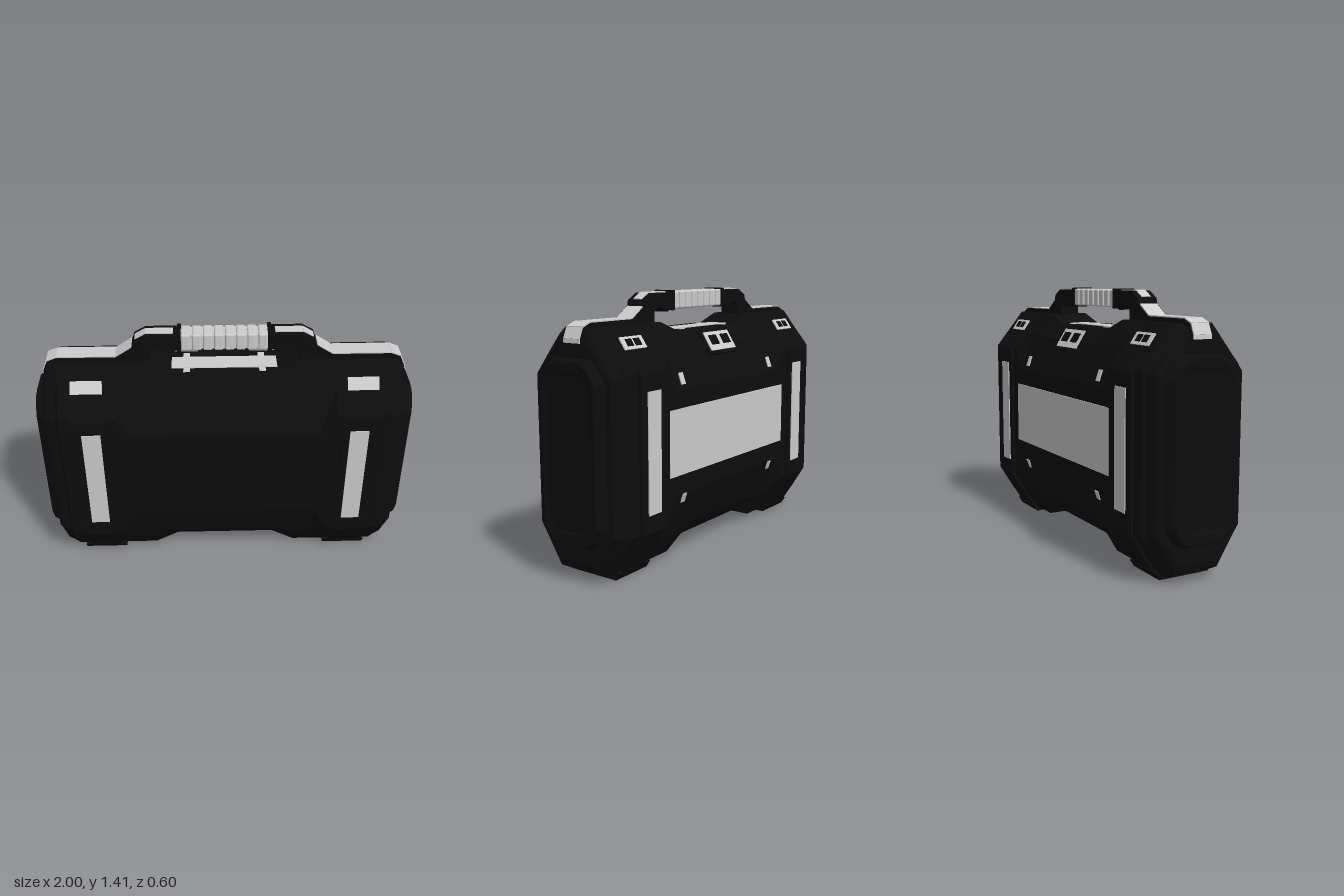
import * as THREE from 'three';
import { RoundedBoxGeometry } from 'three/addons/geometries/RoundedBoxGeometry.js';

const black = new THREE.MeshStandardMaterial({ color: 0x0d0d0d });
black.name = 'black shell';
const grey = new THREE.MeshStandardMaterial({ color: 0xcccccc });
grey.name = 'light grey trim';

// Loft through cross-sections [x, [[z, y] ...]]; each half profile is mirrored in z.
function loft(sections) {
  const rings = sections.map(([x, half]) => [
    ...half.map(([z, y]) => [x, y, z]),
    ...half.slice().reverse().map(([z, y]) => [x, y, -z]),
  ]);
  const n = rings[0].length, last = rings[rings.length - 1], pos = [];
  const tri = (...p) => p.forEach((v) => pos.push(...v));
  for (let i = 0; i < rings.length - 1; i++) {
    for (let j = 0; j < n; j++) {
      const k = (j + 1) % n;
      const a = rings[i][j], b = rings[i][k], c = rings[i + 1][k], d = rings[i + 1][j];
      tri(a, d, c);
      tri(a, c, b);
    }
  }
  for (let k = 1; k < n - 1; k++) {
    tri(rings[0][0], rings[0][k], rings[0][k + 1]);
    tri(last[0], last[k + 1], last[k]);
  }
  const g = new THREE.BufferGeometry();
  g.setAttribute('position', new THREE.Float32BufferAttribute(pos, 3));
  g.computeVertexNormals();
  return g;
}

// Extrude a mirrored (z, y) profile along x, centred on its width.
function sideExtrude(half, width) {
  const pts = [...half, ...half.slice().reverse().map(([z, y]) => [-z, y])];
  const shape = new THREE.Shape(pts.map(([z, y]) => new THREE.Vector2(z, y)));
  const g = new THREE.ExtrudeGeometry(shape, { depth: width, bevelEnabled: false });
  g.translate(0, 0, -width / 2);
  g.rotateY(Math.PI / 2);
  return g;
}

export function createModel() {
  const root = new THREE.Group();
  root.name = 'carryCase';

  function add(name, geo, mat, x = 0, y = 0, z = 0) {
    const m = new THREE.Mesh(geo, mat);
    m.name = name;
    m.position.set(x, y, z);
    root.add(m);
    return m;
  }
  const box = (name, mat, w, h, d, x, y, z) => add(name, new THREE.BoxGeometry(w, h, d), mat, x, y, z);

  // Thin plate lying along a slope from (z0, y0) to (z1, y1)
  function slopePlate(name, mat, x, w, [z0, y0], [z1, y1], t = 0.008) {
    const len = Math.hypot(z1 - z0, y1 - y0);
    const m = box(name, mat, w, len, t, x, (y0 + y1) / 2, (z0 + z1) / 2);
    m.rotation.x = Math.atan2(z1 - z0, y1 - y0);
    return m;
  }

  // Shell: waisted middle, full shoulders, stepped ends with recessed panels
  const mid = [[0.13, 0.09], [0.2, 0.17], [0.275, 0.38], [0.275, 0.92], [0.2, 1.12], [0.12, 1.2]];
  const slope = [[0.14, 0.03], [0.2, 0.14], [0.275, 0.38], [0.275, 0.92], [0.2, 1.13], [0.11, 1.25]];
  const full = [[0.14, 0.03], [0.2, 0.12], [0.28, 0.25], [0.28, 1.04], [0.19, 1.15], [0.11, 1.25]];
  const right = [
    [0.28, mid], [0.41, slope], [0.5, slope], [0.58, full], [0.87, full],
    [0.885, [[0.13, 0.035], [0.19, 0.12], [0.262, 0.25], [0.262, 1.03], [0.18, 1.14], [0.1, 1.248]]],
    [0.935, [[0.12, 0.06], [0.17, 0.14], [0.247, 0.26], [0.247, 1.02], [0.17, 1.12], [0.09, 1.22]]],
    [0.95, [[0.11, 0.1], [0.16, 0.17], [0.235, 0.27], [0.235, 1.01], [0.16, 1.1], [0.08, 1.18]]],
    [0.952, [[0.11, 0.19], [0.15, 0.22], [0.205, 0.3], [0.205, 1.0], [0.15, 1.08], [0.11, 1.11]]],
    [0.995, [[0.1, 0.205], [0.14, 0.24], [0.175, 0.31], [0.175, 0.99], [0.14, 1.06], [0.1, 1.09]]],
    [1.0, [[0.1, 0.215], [0.135, 0.25], [0.165, 0.315], [0.165, 0.985], [0.135, 1.05], [0.1, 1.08]]],
    [0.99, [[0.09, 0.27], [0.11, 0.285], [0.14, 0.335], [0.14, 0.965], [0.11, 1.015], [0.09, 1.03]]],
  ];
  const left = right.map(([x, p]) => [-x, p]).reverse();
  add('shell', loft([...left, ...right]), black);

  // Straps, feet and trim, mirrored on both sides
  const strap = [[0.145, 0.008], [0.295, 0.25], [0.295, 1.03], [0.205, 1.135], [0.158, 1.2], [0.1, 1.235]];
  const foot = [[0.145, 0.002], [0.17, 0.04], [0.1, 0.06]];
  const bracket = [[0.298, 0.955], [0.299, 1.025], [0.1, 1.03]];
  const heel = [[0.16, 0.03], [0.299, 0.25], [0.299, 0.33], [0.1, 0.33]];
  const zc = -0.005; // handle line

  // Handle arm and top ridge silhouette
  const armPts = [
    [0.235, 1.395], [0.41, 1.395], [0.472, 1.36], [0.48, 1.33], [0.57, 1.272], [0.88, 1.272],
    [0.93, 1.252], [0.953, 1.2], [0.953, 1.1], [0.6, 1.1], [0.3, 1.18], [0.28, 1.2], [0.4, 1.25],
    [0.4, 1.3], [0.35, 1.33], [0.29, 1.295], [0.235, 1.32],
  ];
  const ridgeTrim = [[0.957, 1.18], [0.956, 1.2], [0.932, 1.254], [0.88, 1.274], [0.57, 1.274], [0.485, 1.329]];
  const armTrim = [[0.465, 1.365], [0.41, 1.397], [0.265, 1.397]];

  for (const s of [-1, 1]) {
    const sx = s * 0.71;
    add('strap', sideExtrude(strap, 0.19), black, sx);
    add('foot', sideExtrude(foot, 0.24), black, sx);
    add('strapHeel', sideExtrude(heel, 0.16), black, sx);
    add('strapBracket', sideExtrude(bracket, 0.2), black, sx);
    box('footPad', grey, 0.16, 0.006, 0.19, sx, 0.003, 0);

    for (const f of [-1, 1]) {
      // Long inlay on the strap and the clip above it
      box('strapInlay', grey, 0.1, 0.61, 0.008, s * 0.705, 0.645, f * 0.296);
      slopePlate('clip', grey, s * 0.72, 0.165, [f * 0.2, 1.145], [f * 0.16, 1.202]);
    }
    for (const dx of [-0.03, 0.03]) {
      slopePlate('clipSlot', black, s * 0.72 + dx, 0.045, [-0.193, 1.16], [-0.171, 1.192]);
    }

    // Handle arm with trim ribbons along its outer edge
    const shape = new THREE.Shape(armPts.map(([x, y]) => new THREE.Vector2(s * x, y)));
    const arm = new THREE.ExtrudeGeometry(shape, { depth: 0.116, bevelEnabled: false });
    add('handleArm', arm, black, 0, 0, zc - 0.058);
    for (const [path, w] of [[ridgeTrim, 0.1], [armTrim, 0.055]]) {
      for (let i = 0; i < path.length - 1; i++) {
        const [x0, y0] = path[i], [x1, y1] = path[i + 1];
        const m = box('topTrim', grey, Math.hypot(x1 - x0, y1 - y0), 0.007, w,
          s * (x0 + x1) / 2, (y0 + y1) / 2, zc);
        m.rotation.z = Math.atan2(y1 - y0, s * (x1 - x0));
      }
    }
    box('gripCollar', black, 0.02, 0.105, 0.12, s * 0.236, 1.353, zc);

    // Tabs at the seam and small plates on the back
    for (const f of [-1, 1]) {
      box('seamTab', grey, 0.035, 0.008, 0.035, s * 0.2, 1.2, f * 0.075 + zc);
      box('lowerTab', grey, 0.035, 0.006, 0.035, s * 0.22, 0.089, f * 0.085);
    }
    slopePlate('backPlate', grey, s * 0.43, 0.035, [-0.268, 0.945], [-0.247, 1.003]);
    slopePlate('backPlate', grey, s * 0.43, 0.035, [-0.258, 0.33], [-0.275, 0.378]);

    // End fittings with screws
    for (const y of [0.235, 1.07]) {
      add('endFitting', new RoundedBoxGeometry(0.02, 0.06, 0.16, 2, 0.008), black, s * 0.988, y, 0);
      for (const z of [-0.05, 0.05]) {
        const g = new THREE.CylinderGeometry(0.019, 0.019, 0.008, 16).rotateZ(Math.PI / 2);
        add('endScrew', g, black, s * 0.996, y, z);
      }
    }
  }

  // Ribbed grip
  box('gripCore', grey, 0.46, 0.08, 0.09, 0, 1.353, zc);
  for (let i = 0; i < 8; i++) {
    add('gripRib', new RoundedBoxGeometry(0.05, 0.094, 0.11, 2, 0.01), grey, (i - 3.5) * 0.0575, 1.353, zc);
  }

  // Plate under the grip, back label panel and rear latch
  box('seamPlate', grey, 0.56, 0.008, 0.11, 0, 1.2, zc);
  box('backPanel', grey, 1.12, 0.345, 0.008, 0, 0.655, -0.276);
  slopePlate('latchHousing', black, 0, 0.28, [-0.225, 1.06], [-0.145, 1.185], 0.03);
  slopePlate('latch', grey, 0, 0.235, [-0.228, 1.085], [-0.168, 1.178]);
  for (const x of [-0.055, 0.055]) {
    slopePlate('latchSlot', black, x, 0.07, [-0.214, 1.115], [-0.184, 1.162]);
  }
  return root;
}
